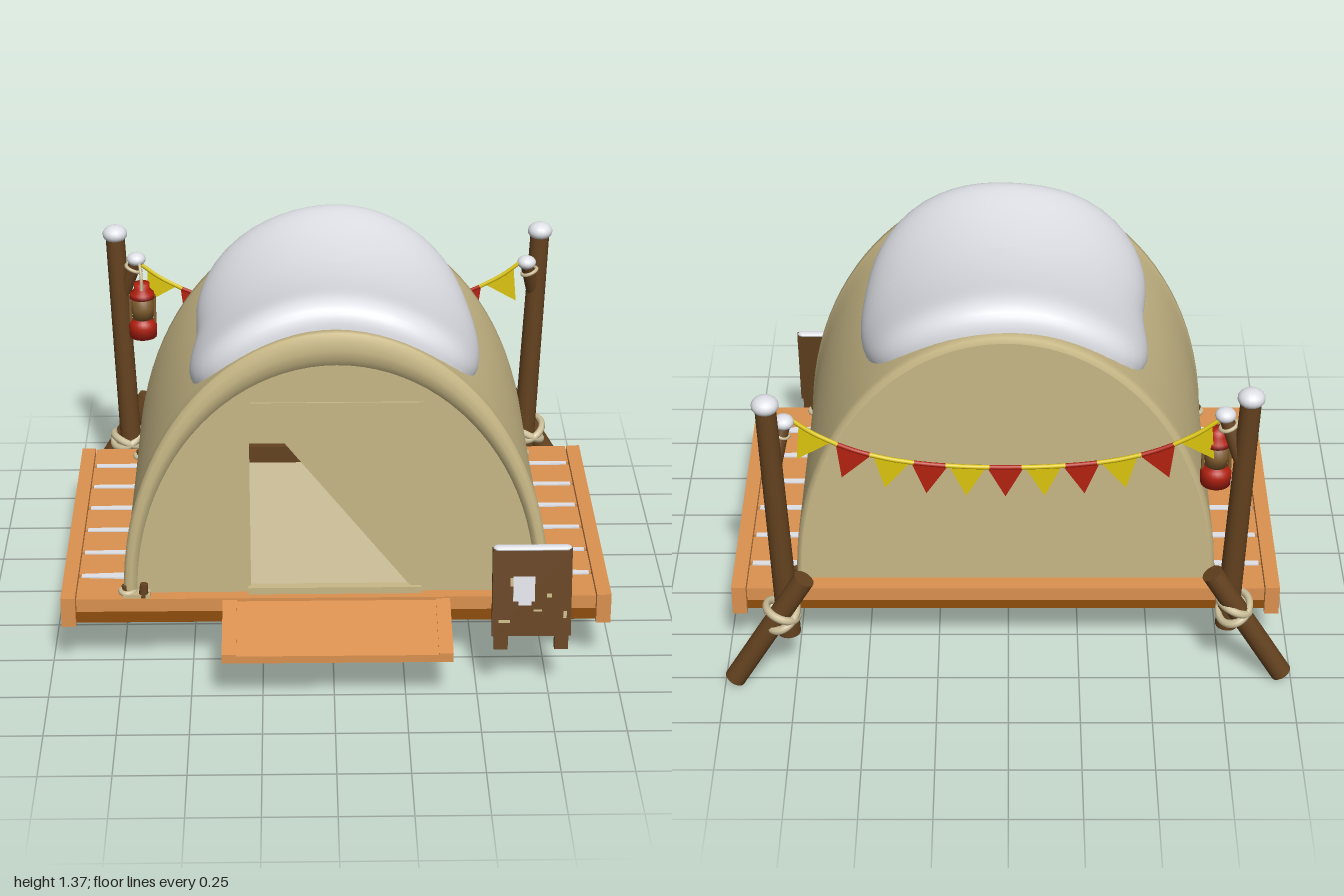
import * as THREE from 'three';

const mat = (name, color, side = THREE.FrontSide) => {
  const m = new THREE.MeshStandardMaterial({ color, side });
  m.name = name;
  return m;
};
const V = (x, y, z) => new THREE.Vector3(x, y, z);

export function createModel() {
  const model = new THREE.Group();
  const canvas = mat('canvas', 0xc8b886, THREE.DoubleSide);
  const wood = mat('deckWood', 0xdc9150);
  const darkWood = mat('darkWood', 0x8f4e0c);
  const snow = mat('snow', 0xe4e6ec, THREE.DoubleSide);
  const bark = mat('bark', 0x64421f);
  const rope = mat('rope', 0xcdc09a);
  const red = mat('red', 0xb32110, THREE.DoubleSide);
  const yellow = mat('yellow', 0xdcc50e, THREE.DoubleSide);
  const glass = mat('lanternGlass', 0x7f5c2e);

  const CX = 0.01, FLOOR = 0.29;
  const add = (name, geo, m, parent = model) => {
    const mesh = new THREE.Mesh(geo, m);
    mesh.name = name;
    parent.add(mesh);
    return mesh;
  };
  // box given by its limits
  const box = (name, m, x0, x1, y0, y1, z0, z1, parent = model) => add(name,
    new THREE.BoxGeometry(x1 - x0, y1 - y0, z1 - z0).translate((x0 + x1) / 2, (y0 + y1) / 2, (z0 + z1) / 2), m, parent);
  // round log between two points
  const log = (name, m, a, b, r0, r1 = r0, parent = model) => {
    const mesh = add(name, new THREE.CylinderGeometry(r1, r0, a.distanceTo(b), 16), m, parent);
    mesh.position.copy(a).lerp(b, 0.5);
    mesh.quaternion.setFromUnitVectors(V(0, 1, 0), b.clone().sub(a).normalize());
    return mesh;
  };
  const tube = (name, m, pts, r, parent = model) =>
    add(name, new THREE.TubeGeometry(new THREE.CatmullRomCurve3(pts), 32, r, 8), m, parent);
  // smooth surface from a rule over a grid
  const surface = (nu, nv, fn) => {
    const pos = [], idx = [];
    for (let j = 0; j <= nv; j++) for (let i = 0; i <= nu; i++) pos.push(...fn(i / nu, j / nv));
    for (let j = 0; j < nv; j++) for (let i = 0; i < nu; i++) {
      const a = j * (nu + 1) + i, b = a + nu + 1;
      idx.push(a, a + 1, b, a + 1, b + 1, b);
    }
    const g = new THREE.BufferGeometry();
    g.setAttribute('position', new THREE.Float32BufferAttribute(pos, 3));
    g.setIndex(idx);
    g.computeVertexNormals();
    return g;
  };

  // ---- deck: planks, side beams, recessed fascia, snow in the gaps
  const gapZ = i => -0.46 + 0.173 * (i - 1);
  for (let i = 0; i < 7; i++) {
    box('deckPlank', wood, -0.905, 0.925, 0.24, FLOOR, i ? gapZ(i) + 0.01 : -0.61, i < 6 ? gapZ(i + 1) - 0.01 : 0.57);
    if (i) for (const s of [-1, 1]) {
      const w = i === 6 ? 0.021 : 0.014;
      const strip = new THREE.Shape([[0.728, -w], [0.728, w], [0.905, 0.011], [0.905, -0.011]]
        .map(([x, z]) => new THREE.Vector2(s * x, z)));
      add('gapSnow', new THREE.ExtrudeGeometry(strip, { depth: 0.035, bevelEnabled: false })
        .rotateX(-Math.PI / 2).translate(CX, 0.26, gapZ(i)), snow);
    }
  }
  box('leftBeam', wood, 0.929, 0.98, 0.18, 0.293, -0.61, 0.57);
  box('rightBeam', wood, -0.96, -0.909, 0.18, 0.293, -0.61, 0.57);
  box('deckFrame', darkWood, -0.909, 0.929, 0.185, 0.24, -0.585, 0.55);
  box('deckUnderside', bark, -0.9, 0.92, 0.179, 0.186, -0.57, 0.54);

  // ---- entrance ramp with side rails
  const wedge = (x0, x1, lift) => {
    const s = new THREE.Shape([[0.57, 0.18], [0.83, 0.18], [0.83, 0.208 + lift], [0.57, 0.278 + lift]]
      .map(p => new THREE.Vector2(...p)));
    return new THREE.ExtrudeGeometry(s, { depth: x1 - x0, bevelEnabled: false }).rotateY(-Math.PI / 2).translate(x1, 0, 0);
  };
  add('ramp', wedge(-0.34, 0.36, 0), wood);
  add('rampRail', wedge(-0.39, -0.34, 0.006), wood);
  add('rampRail', wedge(0.36, 0.41, 0.006), wood);

  // ---- tent shell: half-ellipse ribs [z, half width, height], sagging between the ends
  const ribs = [[-0.545, 0.725, 0.975], [-0.54, 0.74, 0.995], [-0.5, 0.742, 0.995]];
  for (let z = -0.4; z < 0.45; z += 0.1) ribs.push([z, 0.742, 0.95 + 0.18 * z * z]);
  ribs.push([0.49, 0.74, 0.99], [0.505, 0.748, 1], [0.53, 0.748, 1], [0.541, 0.738, 0.975],
    [0.545, 0.722, 0.94], [0.541, 0.71, 0.905], [0.522, 0.7, 0.877]);
  add('tentShell', surface(48, ribs.length - 1, (u, v) => {
    const [z, a, b] = ribs[Math.round(v * (ribs.length - 1))], t = u * Math.PI;
    return [CX + a * Math.cos(t), FLOOR + b * Math.sin(t), z];
  }), canvas);
  const arch = (a, b) => {
    const s = new THREE.Shape();
    s.absellipse(CX, FLOOR, a, b, 0, Math.PI, false);
    s.closePath();
    return s;
  };
  const poly = pts => pts.map(p => new THREE.Vector2(...p));
  add('backWall', new THREE.ShapeGeometry(arch(0.727, 0.977), 40).translate(0, 0, -0.543), canvas);
  const front = arch(0.702, 0.879);
  front.holes.push(new THREE.Path(poly([[-0.29, 1.03], [-0.29, 0.3], [0.28, 0.3]])));
  add('frontWall', new THREE.ShapeGeometry(front, 40).translate(0, 0, 0.523), canvas);
  // closed door flap and sill
  add('doorFlap', new THREE.ExtrudeGeometry(new THREE.Shape(poly([[-0.285, 1.03], [0.285, 0.3], [0.31, 0.3], [0.31, 1.03]])),
    { depth: 0.006, bevelEnabled: false }).translate(0, 0, 0.523), canvas);
  box('doorSill', canvas, -0.3, 0.31, FLOOR, 0.315, 0.51, 0.543);
  // inside: pale mat with a low brown border
  box('floorMat', rope, -0.68, 0.7, FLOOR, 0.298, -0.52, 0.51);
  box('matBorder', bark, -0.4, 0.42, FLOOR, 0.365, -0.5, -0.47);
  for (const s of [-1, 1]) box('matBorder', bark, CX + s * 0.4 - 0.012, CX + s * 0.4 + 0.012, FLOOR, 0.325, -0.5, 0.48);

  // hem seams and corner ties
  for (const s of [-1, 1]) {
    const hem = [];
    for (let i = 0; i <= 10; i++) {
      const z = -0.5 + i * 0.1, h = 0.015 + 0.06 * (1 - 4 * z * z);
      hem.push(V(CX + s * 0.739 * Math.sqrt(1 - (h / 0.96) ** 2), FLOOR + h, z));
    }
    tube('hemSeam', canvas, hem, 0.006);
    for (const z of [-0.53, 0.53]) {
      const tie = add('cornerTie', new THREE.TorusGeometry(0.024, 0.01, 8, 20).rotateX(Math.PI / 2), rope);
      tie.position.set(CX + s * 0.735, FLOOR + 0.012, z);
      log('cornerPeg', bark, V(CX + s * 0.735, 0.28, z), V(CX + s * 0.745, 0.325, z), 0.012);
    }
  }
  log('frontPeg', bark, V(-0.67, 0.28, 0.55), V(-0.665, 0.34, 0.55), 0.018, 0.014);
  box('frontPegPad', canvas, -0.74, -0.645, FLOOR, 0.303, 0.51, 0.565);

  // ---- snow blanket on the roof: rounded-square patch with a soft, wavy edge
  add('roofSnow', surface(72, 20, (u, v) => {
    const t = u * Math.PI * 2, c = Math.cos(t), s = Math.sin(t);
    const k = (c ** 4 + s ** 4) ** -0.25 * (1 + 0.025 * Math.sin(3 * t + 0.6) + 0.018 * Math.sin(5 * t + 2));
    const r = Math.sin(v * Math.PI / 2), th = r * k * c * 0.74, z = -0.005 + r * k * s * 0.49;
    const h = (0.096 + 0.13 * z * z) * Math.sqrt(Math.max(0, 1 - r ** 9)) - 0.006;
    const sag = 0.95 + 0.18 * Math.min(z * z, 0.24);
    return [CX + (0.742 + h * 0.6) * Math.sin(th), FLOOR + (sag + h) * Math.cos(th), z];
  }), snow);

  // ---- rear posts with a branch stub, slanted brace, lashing and snow caps
  const cap = (x, y, z, r, parent) => {
    const m = add('snowCap', new THREE.SphereGeometry(r, 18, 12).scale(1, 0.72, 1), snow, parent);
    m.position.set(x, y, z);
  };
  const post = (name, s, zFoot, zTop, zBrace, top, tip) => {
    const g = new THREE.Group();
    g.name = name;
    model.add(g);
    log('post', bark, V(s * 0.77, 0.19, zFoot), V(s * 0.81, top, zTop), 0.041, 0.036, g);
    cap(s * 0.81, top, zTop, 0.047, g);
    log('branch', bark, V(s * 0.795, 0.88, zTop), tip, 0.026, 0.024, g);
    cap(tip.x, tip.y + 0.005, tip.z, 0.036, g);
    log('brace', bark, V(s * 0.966, 0.021, zBrace), V(s * 0.705, 0.455, zBrace), 0.038, 0.038, g);
    // two crossed coils around post and brace
    for (const [tilt, y] of [[-0.45, 0.285], [0.4, 0.3]]) {
      const t = add('lashing', new THREE.TorusGeometry(0.07, 0.015, 8, 28).rotateX(Math.PI / 2).scale(0.85, 1, 1.05), rope, g);
      t.position.set(s * 0.79, y, (zFoot + zBrace) / 2);
      t.rotation.set(tilt * 0.5, 0, tilt);
    }
    const knot = add('branchTie', new THREE.TorusGeometry(0.03, 0.007, 8, 20).rotateX(Math.PI / 2), rope, g);
    knot.position.set(tip.x + s * 0.012, tip.y - 0.035, tip.z - 0.006);
    knot.rotation.z = s * 0.4;
  };
  post('rightPost', -1, -0.68, -0.71, -0.742, 1.155, V(-0.73, 1.06, -0.675));
  post('leftPost', 1, -0.725, -0.74, -0.775, 1.145, V(0.757, 1.035, -0.68));

  // ---- bunting: sagging line in alternating colours with a flag on each stretch
  const lineY = x => 0.85 + 0.155 * (x - CX) ** 2 + 0.41 * (x - CX) ** 4;
  const linePoint = x => V(x, lineY(x), -0.672);
  for (let i = 0; i < 11; i++) {
    const x = CX + (i - 5) * 0.129, m = i % 2 ? red : yellow, half = i % 2 ? 0.054 : 0.075;
    const a = i === 0 ? -0.73 : x - half, b = i === 10 ? 0.75 : x + half;
    tube('buntingLine', m, [linePoint(a), linePoint((a + b) / 2), linePoint(b)], 0.008);
    const flag = add('flag', new THREE.ExtrudeGeometry(new THREE.Shape(poly([[-0.062, 0], [0, -0.118], [0.062, 0]])),
      { depth: 0.006, bevelEnabled: false }).translate(0, 0, -0.003), m);
    flag.position.copy(linePoint(x));
    flag.rotation.z = Math.atan(0.31 * (x - CX) + 1.64 * (x - CX) ** 3);
  }

  // ---- hanging lantern
  const lantern = new THREE.Group();
  lantern.name = 'lantern';
  lantern.position.set(-0.71, 0.765, -0.635);
  model.add(lantern);
  const lathe = (name, m, p) => add(name, new THREE.LatheGeometry(poly(p), 24), m, lantern);
  lathe('lanternBase', red, [[0, 0], [0.052, 0], [0.054, 0.045], [0.046, 0.062], [0.036, 0.07], [0.036, 0.08], [0, 0.08]]);
  lathe('lanternGlass', glass, [[0, 0.075], [0.038, 0.075], [0.043, 0.115], [0.038, 0.165], [0, 0.165]]);
  lathe('lanternTop', red, [[0, 0.16], [0.048, 0.16], [0.046, 0.178], [0.03, 0.195], [0.03, 0.218], [0, 0.222]]);
  for (const s of [-1, 1]) log('lanternFrame', glass, V(s * 0.046, 0.05, 0), V(s * 0.046, 0.17, 0), 0.006, 0.006, lantern);
  tube('lanternHandle', rope, [V(0, 0.2, 0.03), V(0, 0.25, 0.025), V(-0.005, 0.285, 0), V(-0.01, 0.29, -0.03)], 0.006, lantern);

  // ---- folding notice board, leaning on a rear leg
  const sign = new THREE.Group();
  sign.name = 'noticeBoard';
  sign.position.set(0.683, 0.55, 0.692);
  model.add(sign);
  const face = new THREE.Group();
  face.name = 'boardFace';
  face.rotation.x = -0.15;
  sign.add(face);
  box('board', bark, -0.137, 0.137, -0.32, 0, -0.014, 0.014, face);
  for (const x of [-0.105, 0.105]) box('boardLeg', bark, x - 0.024, x + 0.024, -0.37, -0.3, -0.014, 0.012, face);
  const patch = (m, x, y, w, h) => box('boardPatch', m, x - w / 2, x + w / 2, y - h / 2, y + h / 2, 0.014, 0.017, face);
  patch(snow, -0.028, -0.145, 0.075, 0.09);
  patch(snow, -0.025, -0.195, 0.045, 0.02);
  for (const [x, y, w, h] of [[-0.07, -0.12, 0.012, 0.03], [0.06, -0.17, 0.018, 0.014], [-0.095, -0.265, 0.04, 0.01],
    [0.02, -0.225, 0.03, 0.007], [0.115, -0.24, 0.012, 0.025]]) patch(canvas, x, y, w, h);
  const ridge = add('boardSnow', new THREE.CapsuleGeometry(0.018, 0.235, 4, 10).rotateZ(Math.PI / 2).scale(1, 0.5, 1), snow, sign);
  ridge.position.y = 0.001;
  const leg = box('rearLeg', bark, -0.03, 0.03, -0.37, -0.01, -0.014, 0.014, sign);
  leg.rotation.x = 0.16;

  return model;
}
